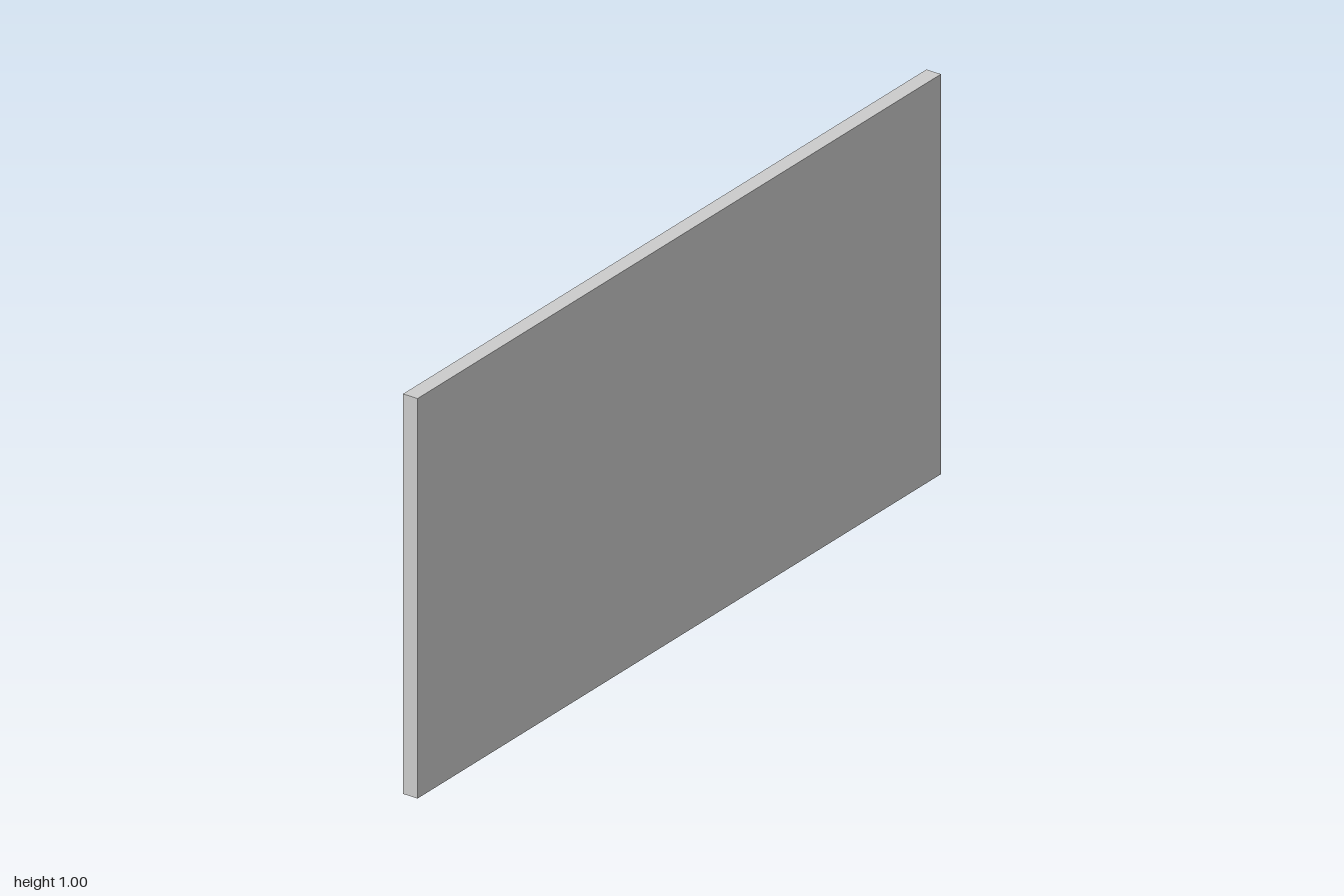
import * as THREE from 'three';

// Points of a regular polygon, first corner on the x axis
function ringPoints(radius, sides) {
  return Array.from({ length: sides }, (_, i) => {
    const a = (i / sides) * Math.PI * 2;
    return new THREE.Vector2(Math.cos(a) * radius, Math.sin(a) * radius);
  });
}

export function createModel() {
  const model = new THREE.Group();
  model.name = 'panel';

  const lightGrey = new THREE.MeshStandardMaterial({ color: 0xcccccc });
  lightGrey.name = 'lightGrey';

  // Flat slab
  const plateDepth = 0.04, ringDepth = 0.032;
  const backZ = (ringDepth - plateDepth) / 2;
  const plate = new THREE.Mesh(new THREE.BoxGeometry(2, 1, plateDepth), lightGrey);
  plate.name = 'plate';
  plate.position.set(0, 0.5, backZ + plateDepth / 2);
  model.add(plate);

  // Sixteen-sided ring, shared by all sockets on the back
  const shape = new THREE.Shape(ringPoints(0.205, 16));
  shape.holes.push(new THREE.Path(ringPoints(0.18, 16)));
  const ringGeometry = new THREE.ExtrudeGeometry(shape, { depth: ringDepth, bevelEnabled: false });

  // Two rows of four rings
  const rings = new THREE.Group();
  rings.name = 'backRings';
  for (const y of [0.25, 0.75]) {
    for (const x of [-0.75, -0.25, 0.25, 0.75]) {
      const ring = new THREE.Mesh(ringGeometry, lightGrey);
      ring.name = 'ring';
      ring.position.set(x, y, backZ - ringDepth);
      rings.add(ring);
    }
  }
  model.add(rings);

  return model;
}
